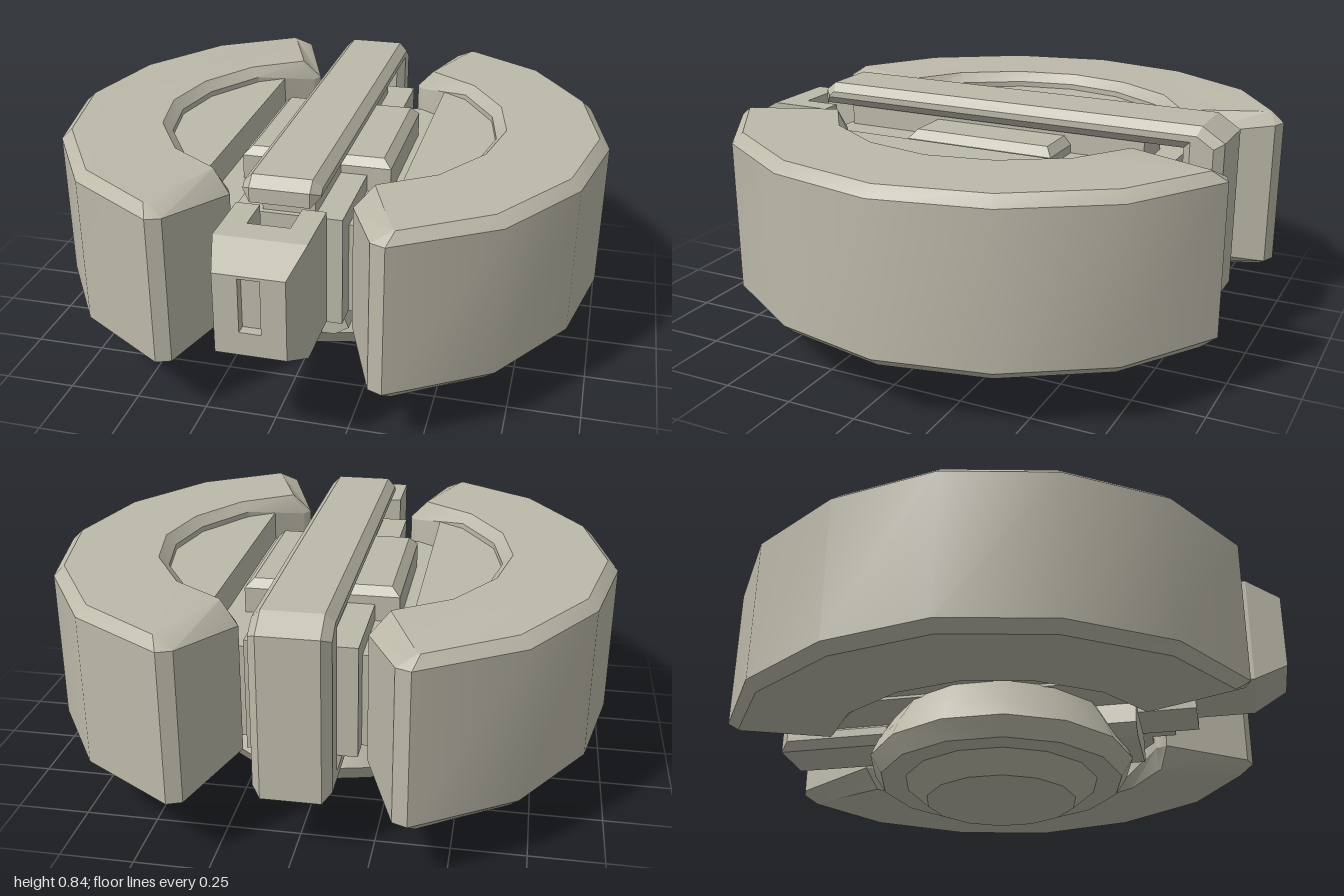
import * as THREE from 'three';
import { toCreasedNormals } from 'three/addons/utils/BufferGeometryUtils.js';

const hull = new THREE.MeshStandardMaterial({ color: 0xbcb9a9 });
hull.name = 'warm grey hull';
const CZ = -0.07; // centre of the round body along z

// Skins a stack of rings ([x, y, z] lists, stacked along z) and caps both ends.
function loft(rings, crease = 0.5) {
  const flat = (r) => r.map((p) => new THREE.Vector2(p[0], p[1]));
  if (THREE.ShapeUtils.area(flat(rings[0])) < 0) rings = rings.map((r) => [...r].reverse());
  const pos = [];
  const tri = (a, b, c) => pos.push(...a, ...b, ...c);
  const n = rings[0].length;
  for (let k = 0; k < rings.length - 1; k++) {
    const a = rings[k], b = rings[k + 1];
    for (let i = 0; i < n; i++) {
      const j = (i + 1) % n;
      tri(a[i], a[j], b[j]);
      tri(a[i], b[j], b[i]);
    }
  }
  const first = rings[0], last = rings[rings.length - 1];
  for (const [a, b, c] of THREE.ShapeUtils.triangulateShape(flat(first), [])) tri(first[a], first[c], first[b]);
  for (const [a, b, c] of THREE.ShapeUtils.triangulateShape(flat(last), [])) tri(last[a], last[b], last[c]);
  const g = new THREE.BufferGeometry();
  g.setAttribute('position', new THREE.Float32BufferAttribute(pos, 3));
  return toCreasedNormals(g, crease);
}

// Rectangle ring at depth z
const rect = (w, y0, y1, z) => [[-w, y0, z], [w, y0, z], [w, y1, z], [-w, y1, z]];

function shapeOf(points) {
  return new THREE.Shape(points.map(([x, y]) => new THREE.Vector2(x, y)));
}

export function createModel() {
  const model = new THREE.Group();
  model.name = 'roundShip';
  const add = (name, geometry) => {
    const m = new THREE.Mesh(geometry, hull);
    m.name = name;
    model.add(m);
    return m;
  };
  const box = (name, x0, x1, y0, y1, z0, z1) =>
    add(name, new THREE.BoxGeometry(x1 - x0, y1 - y0, z1 - z0))
      .position.set((x0 + x1) / 2, (y0 + y1) / 2, (z0 + z1) / 2);

  // Half outlines as [x, distance behind the centre], completed by mirroring front to back
  const closeOutline = (outer, inner) => [
    ...outer,
    ...outer.slice(0, -1).reverse().map(([x, d]) => [x, -d]),
    ...inner.map(([x, d]) => [x, -d]),
    ...inner.slice(0, -1).reverse(),
  ];
  const full = closeOutline(
    [[0.33, 0.90], [0.38, 0.92], [0.71, 0.71], [0.92, 0.38], [1.0, 0]],
    [[0.21, 0.60], [0.23, 0.56], [0.43, 0.42], [0.56, 0.21], [0.60, 0]]);
  const inset = closeOutline(
    [[0.39, 0.865], [0.40, 0.87], [0.68, 0.685], [0.885, 0.365], [0.962, 0]],
    [[0.275, 0.57], [0.285, 0.56], [0.46, 0.44], [0.59, 0.23], [0.635, 0]]);
  const deck = [[0.335, 0.5], [0.43, 0.43], [0.57, 0.21], [0.61, 0],
    [0.57, -0.21], [0.43, -0.43], [0.335, -0.5]];

  for (const [side, s] of [['left', 1], ['right', -1]]) {
    const ring = (pts, y, yTip = y) => pts.map(([x, d]) => [s * x, d, x < 0.25 ? yTip : y]);
    // Thick crescent with chamfered rims
    const crescent = add(side + 'Crescent', loft([
      ring(inset, 0.19), ring(full, 0.225, 0.26), ring(full, 0.75, 0.71), ring(inset, 0.785)]));
    crescent.rotation.x = -Math.PI / 2;
    crescent.position.z = CZ;
    // Deck filling the crescent
    const plate = add(side + 'Deck', loft([ring(deck, 0.3), ring(deck, 0.73)]));
    plate.rotation.x = -Math.PI / 2;
    plate.position.z = CZ;
    // Cheeks beside the notch behind the cockpit
    const [a, b] = s > 0 ? [0.07, 0.15] : [-0.15, -0.07];
    box(side + 'CockpitCheek', a, b, 0.34, 0.74, 0.64, 0.775);
  }

  // Core blocks between the decks
  box('coreFloor', -0.335, 0.335, 0.29, 0.62, -0.63, 0.48);
  box('coreRail', -0.185, 0.185, 0.29, 0.68, -0.71, 0.57);
  const hatch = add('coreHatch', loft([
    [[-0.27, -0.205, 0.6], [0.27, -0.205, 0.6], [0.27, 0.35, 0.6], [-0.27, 0.35, 0.6]],
    [[-0.27, -0.205, 0.71], [0.27, -0.205, 0.71], [0.27, 0.35, 0.71], [-0.27, 0.35, 0.71]],
    [[-0.24, -0.18, 0.74], [0.24, -0.18, 0.74], [0.24, 0.325, 0.74], [-0.24, 0.325, 0.74]],
  ]));
  hatch.rotation.x = -Math.PI / 2;

  // Spine: long top bar that hooks down behind the body, drawn from the side
  const spineShape = shapeOf([[0.66, 0.755], [0.66, 0.805], [0.62, 0.837], [-0.82, 0.837], [-0.9, 0.785],
    [-0.9, 0.22], [-0.45, 0.22], [-0.45, 0.31], [-0.76, 0.31], [-0.76, 0.755]]);
  const spine = new THREE.ExtrudeGeometry(spineShape, {
    depth: 0.2, bevelEnabled: true, bevelThickness: 0.03, bevelSize: 0.03, bevelOffset: -0.03, bevelSegments: 1 });
  spine.translate(0, 0, -0.1);
  spine.rotateY(-Math.PI / 2);
  add('spine', spine);
  box('spineSupport', -0.09, 0.09, 0.66, 0.775, -0.62, 0.55);

  // Cockpit: tapered nose with a recessed window slot
  add('cockpitNose', loft([
    rect(0.15, 0.34, 0.74, 0.775), rect(0.15, 0.34, 0.74, 0.87), rect(0.115, 0.4, 0.675, 0.99),
    rect(0.035, 0.48, 0.665, 0.99), rect(0.035, 0.48, 0.665, 0.955)], 0.1));
  box('cockpitFloor', -0.07, 0.07, 0.34, 0.6, 0.64, 0.775);
  box('cockpitNeck', -0.1, 0.1, 0.27, 0.6, 0.45, 0.66);

  // Keel under the front of the core
  const keelShape = shapeOf([[-0.13, 0.168], [0.13, 0.168], [0.18, 0.2], [0.14, 0.29], [-0.14, 0.29], [-0.18, 0.2]]);
  const keel = add('keel', new THREE.ExtrudeGeometry(keelShape, { depth: 0.45, bevelEnabled: false }));
  keel.position.z = 0;

  // Stepped round turret underneath
  const profile = [[0, 0], [0.275, 0], [0.355, 0.07], [0.445, 0.07], [0.487, 0.135], [0.46, 0.2], [0.4, 0.3], [0, 0.3]]
    .map(([r, y]) => new THREE.Vector2(r, y));
  const turret = add('bellyTurret', toCreasedNormals(new THREE.LatheGeometry(profile, 14), 0.5));
  turret.position.z = CZ;

  return model;
}
